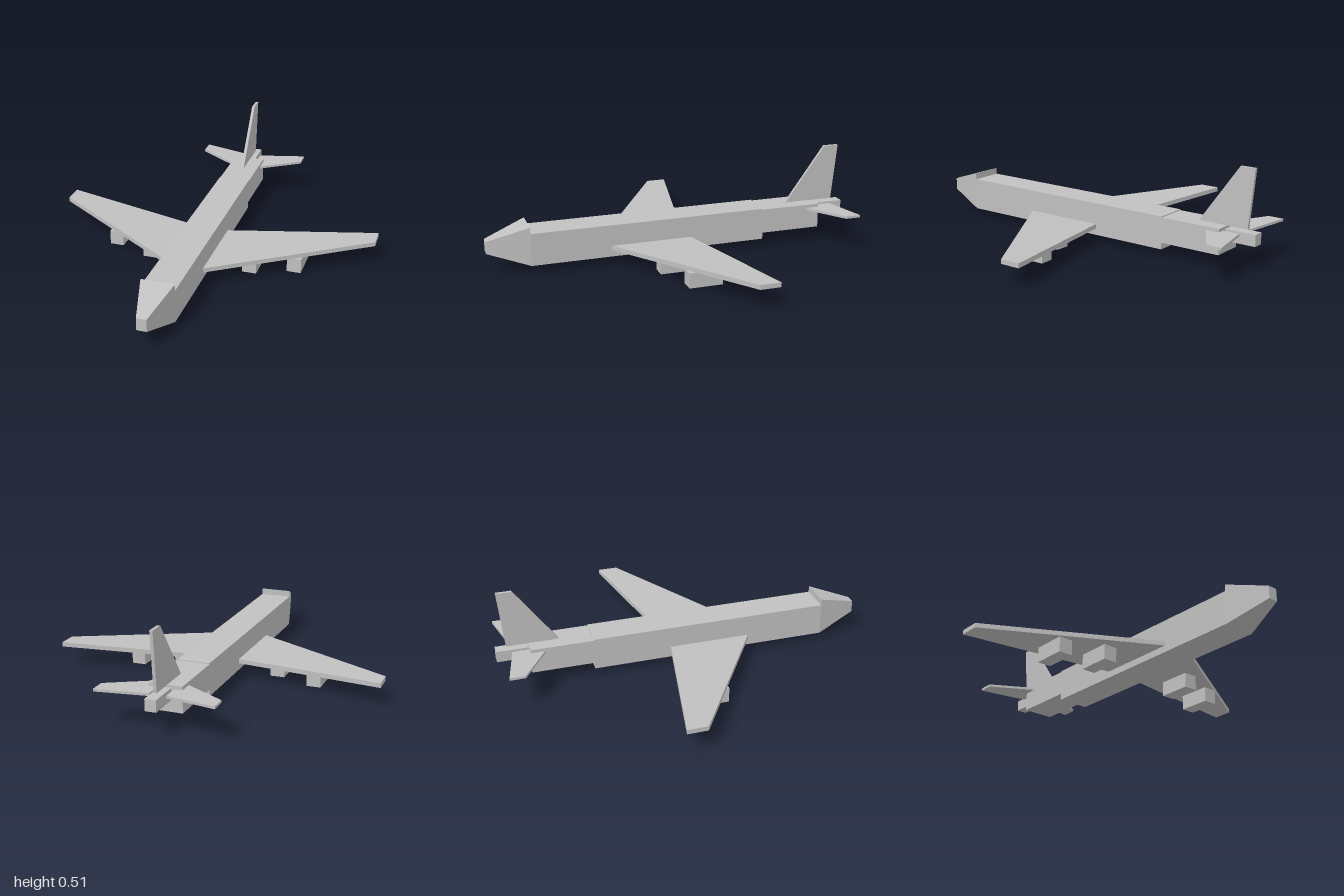
import * as THREE from 'three';
import { ConvexGeometry } from 'three/addons/geometries/ConvexGeometry.js';

export function createModel() {
  const group = new THREE.Group();
  group.name = 'airliner';
  const grey = new THREE.MeshStandardMaterial({ color: 0xc0c0c0 });
  grey.name = 'light grey';

  const add = (name, geometry) => {
    const mesh = new THREE.Mesh(geometry, grey);
    mesh.name = name;
    group.add(mesh);
    return mesh;
  };

  // Box given by centre x, half width, and its y and z ranges
  const box = (name, x, halfWidth, [y0, y1], [z0, z1]) =>
    add(name, new THREE.BoxGeometry(halfWidth * 2, y1 - y0, z1 - z0))
      .position.set(x, (y0 + y1) / 2, (z0 + z1) / 2);

  // Solid spanned by its corner points
  const solid = (name, corners) =>
    add(name, new ConvexGeometry(corners.map(c => new THREE.Vector3(...c))));

  // Tapered panel between a root and a tip chord: { x, y: [bottom, top], z: [rear, front] }
  const panel = (name, side, root, tip) =>
    solid(name, [root, tip].flatMap(({ x, y, z }) =>
      y.flatMap(py => z.map(pz => [side * x, py, pz]))));

  // Fuselage, stepped toward the tail
  box('fuselage', 0, 0.086, [0.038, 0.211], [-0.5, 0.78]);
  box('rearFuselage', 0, 0.086, [0.073, 0.206], [-0.832, -0.5]);
  box('tailCone', 0, 0.029, [0.133, 0.193], [-1, -0.832]);

  // Nose, tapering from a raised base to a small blunt tip
  const ring = (w, y0, y1, z) => [[-w, y0, z], [w, y0, z], [w, y1, z], [-w, y1, z]];
  solid('nose', [...ring(0.086, 0.038, 0.246, 0.78), ...ring(0.026, 0.108, 0.173, 1)]);

  // Tail fin
  solid('tailFin', [-0.008, 0.008].flatMap(x => [
    [x, 0.205, -0.67], [x, 0.512, -0.893], [x, 0.512, -0.975], [x, 0.205, -0.945],
  ]));

  for (const [label, side] of [['left', 1], ['right', -1]]) {
    panel(label + 'Wing', side,
      { x: 0.08, y: [0.073, 0.097], z: [-0.084, 0.357] },
      { x: 0.886, y: [0.102, 0.126], z: [-0.25, -0.142] });

    panel(label + 'Stabilizer', side,
      { x: 0.043, y: [0.175, 0.188], z: [-0.92, -0.732] },
      { x: 0.304, y: [0.181, 0.194], z: [-0.975, -0.893] });

    // Engines under the wing
    box(label + 'InnerEngine', side * 0.278, 0.038, [0, 0.08], [-0.015, 0.16]);
    box(label + 'OuterEngine', side * 0.5, 0.038, [0, 0.08], [-0.093, 0.084]);
  }

  return group;
}
